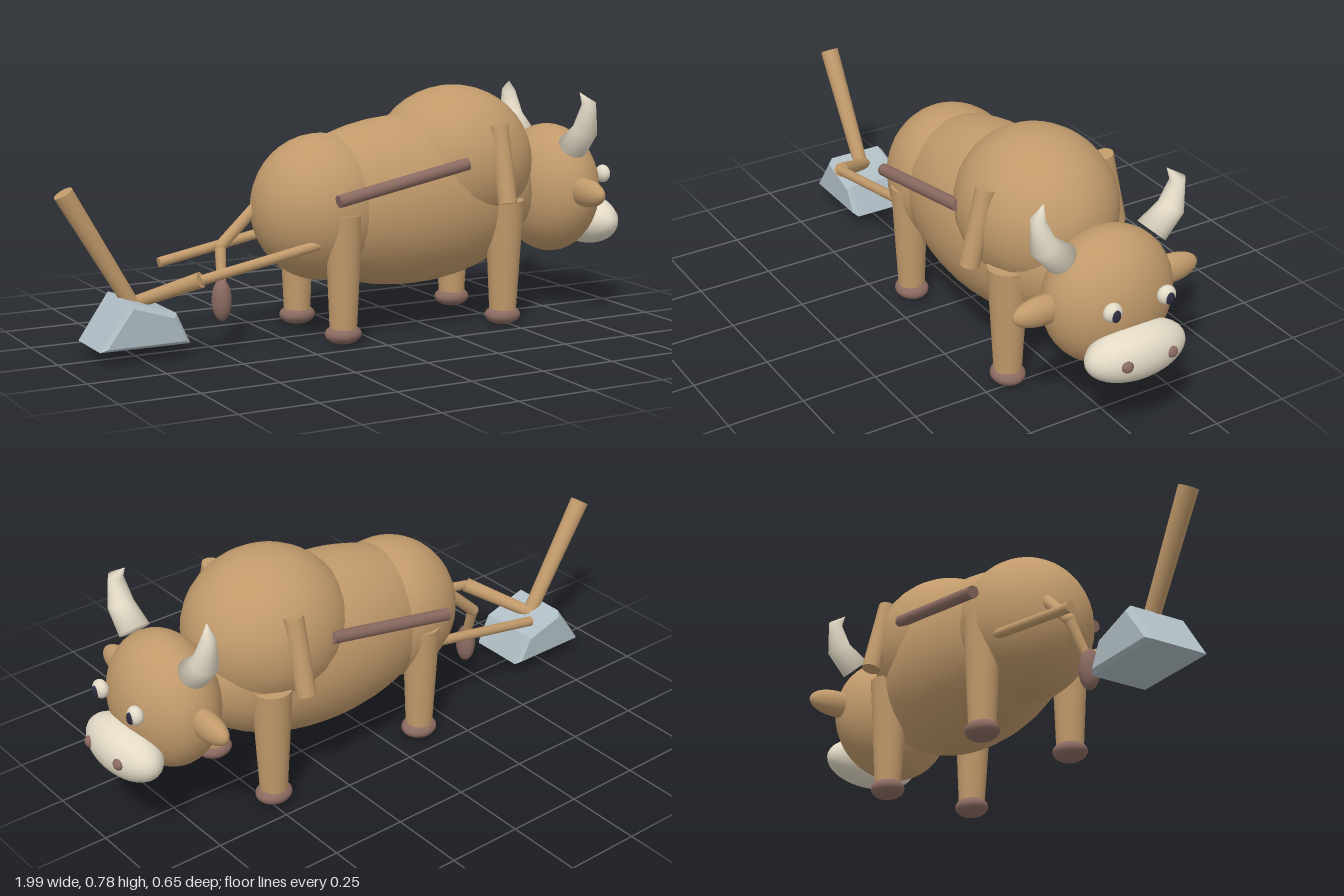
import * as THREE from 'three';

const mat = (name, color) => {
  const m = new THREE.MeshStandardMaterial({ color });
  m.name = name;
  return m;
};

export function createModel() {
  const root = new THREE.Group();
  root.name = 'oxWithPlough';
  const hide = mat('tan hide', 0xc19a6b);
  const ivory = mat('ivory', 0xe3dac6);
  const brown = mat('dark brown', 0x8a6a60);
  const pupilDark = mat('pupil', 0x2c2c40);
  const steel = mat('steel', 0xb0bec5);

  const add = (name, geo, material) => {
    const mesh = new THREE.Mesh(geo, material);
    mesh.name = name;
    root.add(mesh);
    return mesh;
  };
  // Ellipsoid from centre and radii
  const ball = (name, material, c, r) => {
    const mesh = add(name, new THREE.SphereGeometry(1, 32, 20), material);
    mesh.position.set(...c);
    mesh.scale.set(...r);
    return mesh;
  };
  // Tapered rod between two points
  const rod = (name, material, a, b, ra, rb = ra) => {
    const p = new THREE.Vector3(...a), q = new THREE.Vector3(...b);
    const dir = q.clone().sub(p);
    const mesh = add(name, new THREE.CylinderGeometry(rb, ra, dir.length(), 20), material);
    mesh.position.copy(p).add(q).multiplyScalar(0.5);
    mesh.quaternion.setFromUnitVectors(new THREE.Vector3(0, 1, 0), dir.normalize());
    return mesh;
  };

  // Body masses
  ball('belly', hide, [0.2, 0.415, 0], [0.48, 0.278, 0.238]);
  ball('rump', hide, [-0.11, 0.415, 0], [0.226, 0.235, 0.215]);
  ball('hump', hide, [0.38, 0.53, 0], [0.27, 0.25, 0.247]);
  ball('head', hide, [0.762, 0.413, 0], [0.155, 0.217, 0.21]);
  ball('muzzle', ivory, [0.91, 0.298, 0], [0.085, 0.087, 0.17]);

  // Horn: rings given by inner and outer edge points [z, y] and centre x
  const hornRings = [
    [0.12, 0.605, 0.194, 0.537, 0.753],
    [0.186, 0.652, 0.26, 0.613, 0.755],
    [0.218, 0.718, 0.264, 0.728, 0.755],
    [0.212, 0.757, 0.214, 0.756, 0.738],
  ];
  const hornGeometry = (s) => {
    const n = 16, pos = [], idx = [];
    for (const [zi, yi, zo, yo, x] of hornRings) {
      const r = Math.hypot(zo - zi, yo - yi) / 2;
      for (let i = 0; i < n; i++) {
        const a = (i / n) * Math.PI * 2, c = Math.cos(a) / 2;
        pos.push(x + r * Math.sin(a), (yi + yo) / 2 + (yo - yi) * c, s * ((zi + zo) / 2 + (zo - zi) * c));
      }
    }
    const tri = (a, b, c) => (s > 0 ? idx.push(a, b, c) : idx.push(a, c, b));
    for (let k = 0; k < hornRings.length - 1; k++) {
      for (let i = 0; i < n; i++) {
        const a = k * n + i, b = k * n + ((i + 1) % n);
        tri(a, b, a + n);
        tri(b, b + n, a + n);
      }
    }
    for (let i = 1; i < n - 1; i++) tri(0, i + 1, i);
    const g = new THREE.BufferGeometry();
    g.setAttribute('position', new THREE.Float32BufferAttribute(pos, 3));
    g.setIndex(idx);
    g.computeVertexNormals();
    return g;
  };
  ivory.side = THREE.DoubleSide;

  // Mirrored parts
  for (const s of [1, -1]) {
    const side = s > 0 ? 'Near' : 'Far';
    add('horn' + side, hornGeometry(s), ivory);
    ball('ear' + side, hide, [0.76, 0.425, s * 0.225], [0.037, 0.047, 0.1]);
    ball('eye' + side, ivory, [0.922, 0.46, s * 0.094], [0.023, 0.03, 0.03]);
    ball('pupil' + side, pupilDark, [0.94, 0.457, s * 0.094], [0.01, 0.02, 0.015]);
    ball('nostril' + side, brown, [0.983, 0.305, s * 0.078], [0.014, 0.018, 0.019]);
    for (const [end, x, top] of [['front', 0.482, 0.064], ['hind', -0.112, 0.06]]) {
      rod(end + 'Leg' + side, hide, [x, 0.03, s * 0.162], [x, 0.415, s * 0.165], 0.043, top);
      ball(end + 'Hoof' + side, brown, [x, 0.032, s * 0.162], [0.06, 0.032, 0.054]);
    }
    // Harness
    rod('trace' + side, brown, [-0.163, 0.467, s * 0.23], [0.3, 0.553, s * 0.23], 0.02);
    rod('yokeBow' + side, hide, [0.428, 0.42, s * 0.267], [0.428, 0.665, s * 0.21], 0.031);
    rod('shaft' + side, hide, [-0.6, 0.25, s * 0.162], [-0.19, 0.325, s * 0.162], 0.016);
  }

  // Tail
  rod('tailUpper', hide, [-0.28, 0.45, -0.055], [-0.435, 0.305, -0.055], 0.019);
  ball('tailJoint', hide, [-0.435, 0.305, -0.055], [0.019, 0.019, 0.019]);
  rod('tailLower', hide, [-0.435, 0.305, -0.055], [-0.456, 0.17, 0], 0.018, 0.014);
  ball('tailTuft', brown, [-0.457, 0.145, 0], [0.031, 0.067, 0.034]);

  // Plough
  rod('ploughLink', hide, [-0.745, 0.165, -0.01], [-0.597, 0.252, 0.16], 0.02, 0.025);
  rod('ploughHandle', hide, [-0.745, 0.14, 0], [-0.97, 0.522, 0], 0.024, 0.031);
  const blade = new THREE.Shape([
    [-0.88, 0.055], [-0.624, 0.055], [-0.661, 0.13], [-0.794, 0.172],
  ].map(([x, y]) => new THREE.Vector2(x, y)));
  const bladeGeo = new THREE.ExtrudeGeometry(blade, {
    depth: 0.186, bevelEnabled: true, bevelSize: 0.015, bevelThickness: 0.015, bevelSegments: 1,
  });
  bladeGeo.translate(0, 0, -0.093);
  add('ploughBlade', bladeGeo, steel);

  return root;
}
